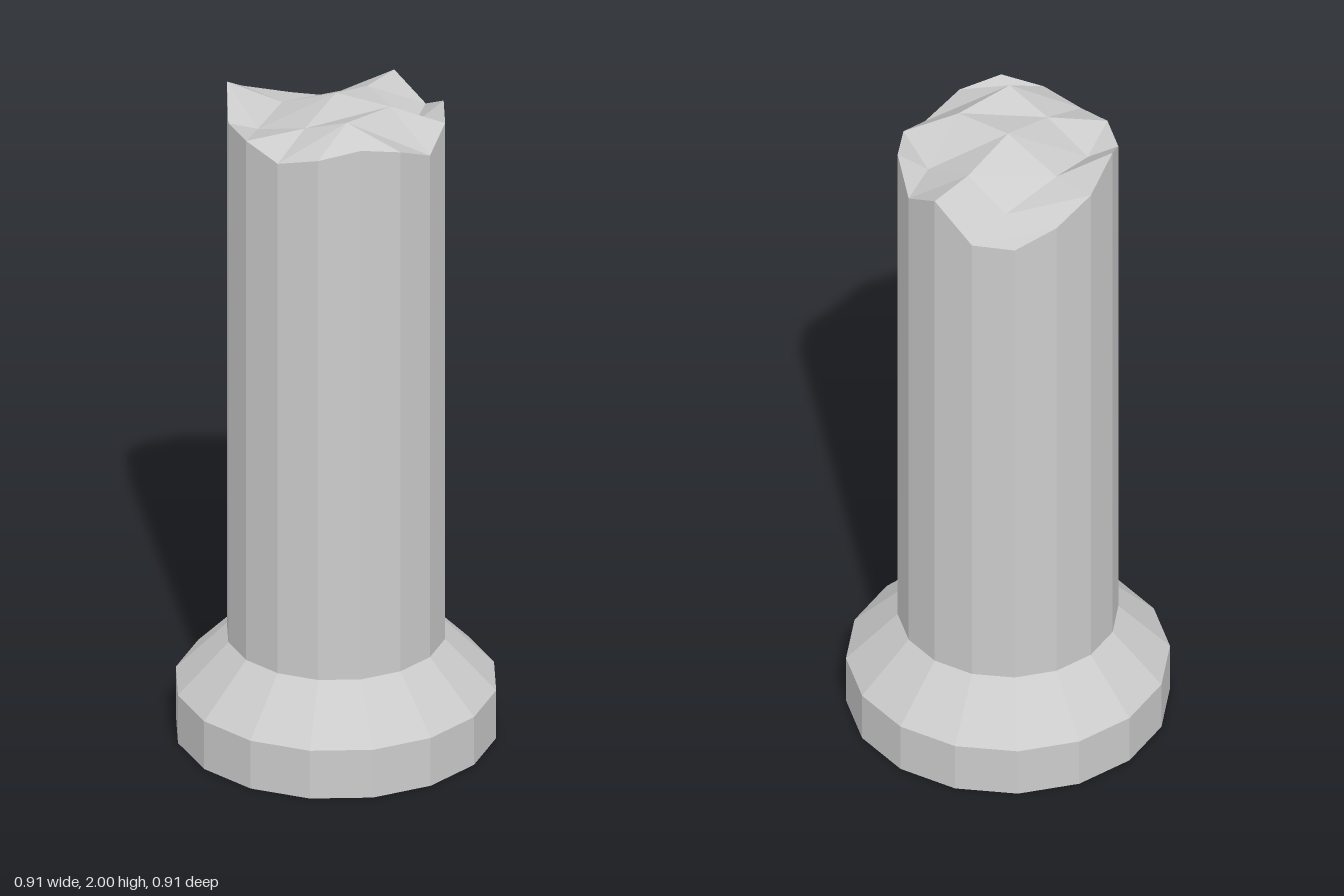
import * as THREE from 'three';

const SIDES = 16;
const SHAFT_RADIUS = 0.31;
const SHAFT_BOTTOM = 0.3;

// Heights of the broken rim, starting at the front and turning towards +x
const RIM = [1.93, 1.875, 1.92, 1.93, 1.865, 1.93, 1.82, 1.815,
  1.87, 1.93, 2.0, 1.93, 1.93, 1.9, 1.93, 1.96];

// Inner points of the broken face, three rows from back to front
const INNER = [
  [[-0.205, 1.9, -0.09], [-0.075, 1.92, -0.155], [0.1, 1.87, -0.19]],
  [[-0.155, 1.95, 0.065], [0, 1.99, 0], [0.155, 1.94, -0.065]],
  [[-0.095, 2.0, 0.185], [0.08, 1.985, 0.15], [0.205, 1.87, 0.09]],
];

const ringPoint = (k, y) => {
  const a = (k / SIDES) * Math.PI * 2;
  return [SHAFT_RADIUS * Math.sin(a), y, SHAFT_RADIUS * Math.cos(a)];
};
const rim = (k) => ringPoint(k % SIDES, RIM[k % SIDES]);

// Unshared corners a, b, c, d in counter-clockwise order
function quadsToGeometry(quads) {
  const positions = quads.flatMap(([a, b, c, d]) => [a, b, c, a, c, d]).flat();
  const geometry = new THREE.BufferGeometry();
  geometry.setAttribute('position', new THREE.Float32BufferAttribute(positions, 3));
  geometry.computeVertexNormals();
  return geometry;
}

export function createModel() {
  const group = new THREE.Group();
  group.name = 'brokenColumn';
  const material = new THREE.MeshStandardMaterial({ color: 0xcccccc, flatShading: true });
  const add = (name, geometry) => {
    const mesh = new THREE.Mesh(geometry, material);
    mesh.name = name;
    group.add(mesh);
  };

  // Plinth with a sloping shoulder and a closed underside
  const profile = [[0, 0], [0.455, 0], [0.455, 0.15], [SHAFT_RADIUS, SHAFT_BOTTOM]];
  add('base', new THREE.LatheGeometry(profile.map(([x, y]) => new THREE.Vector2(x, y)), SIDES));

  // Faceted shaft rising to the uneven rim
  const sides = RIM.map((_, k) => [
    ringPoint(k, SHAFT_BOTTOM), ringPoint(k + 1, SHAFT_BOTTOM), rim(k + 1), rim(k),
  ]);
  add('shaft', quadsToGeometry(sides));

  // Broken top: a 5 x 5 grid fitted inside the rim
  const grid = [
    [11, 10, 9, 8, 7].map(rim),
    ...INNER.map((row, j) => [rim(12 + j), ...row, rim(6 - j)]),
    [15, 0, 1, 2, 3].map(rim),
  ];
  const top = [];
  for (let j = 0; j < 4; j++) {
    for (let i = 0; i < 4; i++) {
      top.push([grid[j][i], grid[j + 1][i], grid[j + 1][i + 1], grid[j][i + 1]]);
    }
  }
  add('brokenTop', quadsToGeometry(top));

  return group;
}
